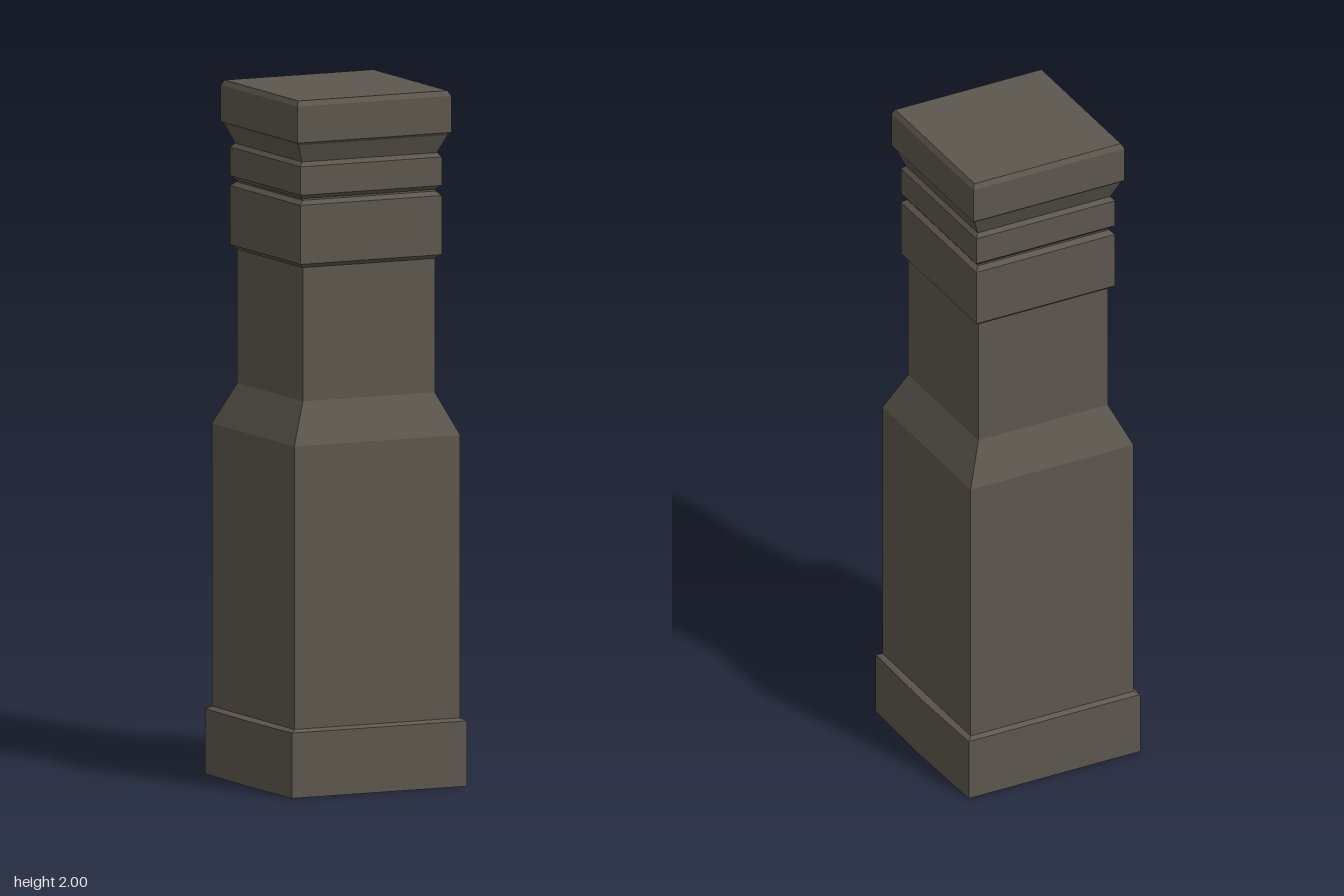
import * as THREE from 'three';

const stone = new THREE.MeshStandardMaterial({ color: 0x5c574e, side: THREE.DoubleSide });
stone.name = 'darkStone';

// Square shell from [half width, height] points, with an optional bow at the middle of the x sides
function squareShell(name, profile, bow = () => 0) {
  const points = profile.map(([r, y]) => new THREE.Vector2(r, y));
  const geo = new THREE.LatheGeometry(points, 8, Math.PI / 4);
  const pos = geo.attributes.position;
  for (let i = 0; i < pos.count; i++) {
    const x = pos.getX(i), z = pos.getZ(i);
    const r = Math.hypot(x, z);
    const k = r / Math.max(Math.abs(x), Math.abs(z));
    const middle = Math.abs(z) < 1e-4;
    pos.setXYZ(i, x * k + (middle ? Math.sign(x) * bow(r) : 0), pos.getY(i), z * k);
  }
  const flat = geo.toNonIndexed();
  flat.computeVertexNormals();
  const mesh = new THREE.Mesh(flat, stone);
  mesh.name = name;
  return mesh;
}

export function createModel() {
  const group = new THREE.Group();
  group.name = 'stonePost';

  // Plinth, open underneath, with slightly bowed x sides
  group.add(squareShell('plinth',
    [[0.278, 0], [0.278, 0.188], [0.264, 0.196]], r => (r > 0.27 ? 0.006 : 0)));

  // Wide lower shaft, sloped shoulder and narrow upper shaft
  group.add(squareShell('shaft',
    [[0.264, 0.196], [0.264, 1.01], [0.21, 1.13], [0.21, 1.515]]));

  // Two bevelled bands with a groove between them
  group.add(squareShell('lowerBand',
    [[0.21, 1.515], [0.225, 1.527], [0.225, 1.697], [0.212, 1.709]]));
  group.add(squareShell('upperBand',
    [[0.212, 1.709], [0.212, 1.714], [0.225, 1.726], [0.225, 1.808], [0.215, 1.82]]));

  // Flared neck and cap slab
  group.add(squareShell('neck', [[0.215, 1.82], [0.237, 1.872]]));
  group.add(squareShell('cap',
    [[0.237, 1.872], [0.245, 1.88], [0.245, 1.985], [0.237, 2]]));

  // Flat top
  const top = new THREE.Mesh(new THREE.PlaneGeometry(0.474, 0.474), stone);
  top.name = 'capTop';
  top.rotation.x = -Math.PI / 2;
  top.position.y = 2;
  group.add(top);

  return group;
}
